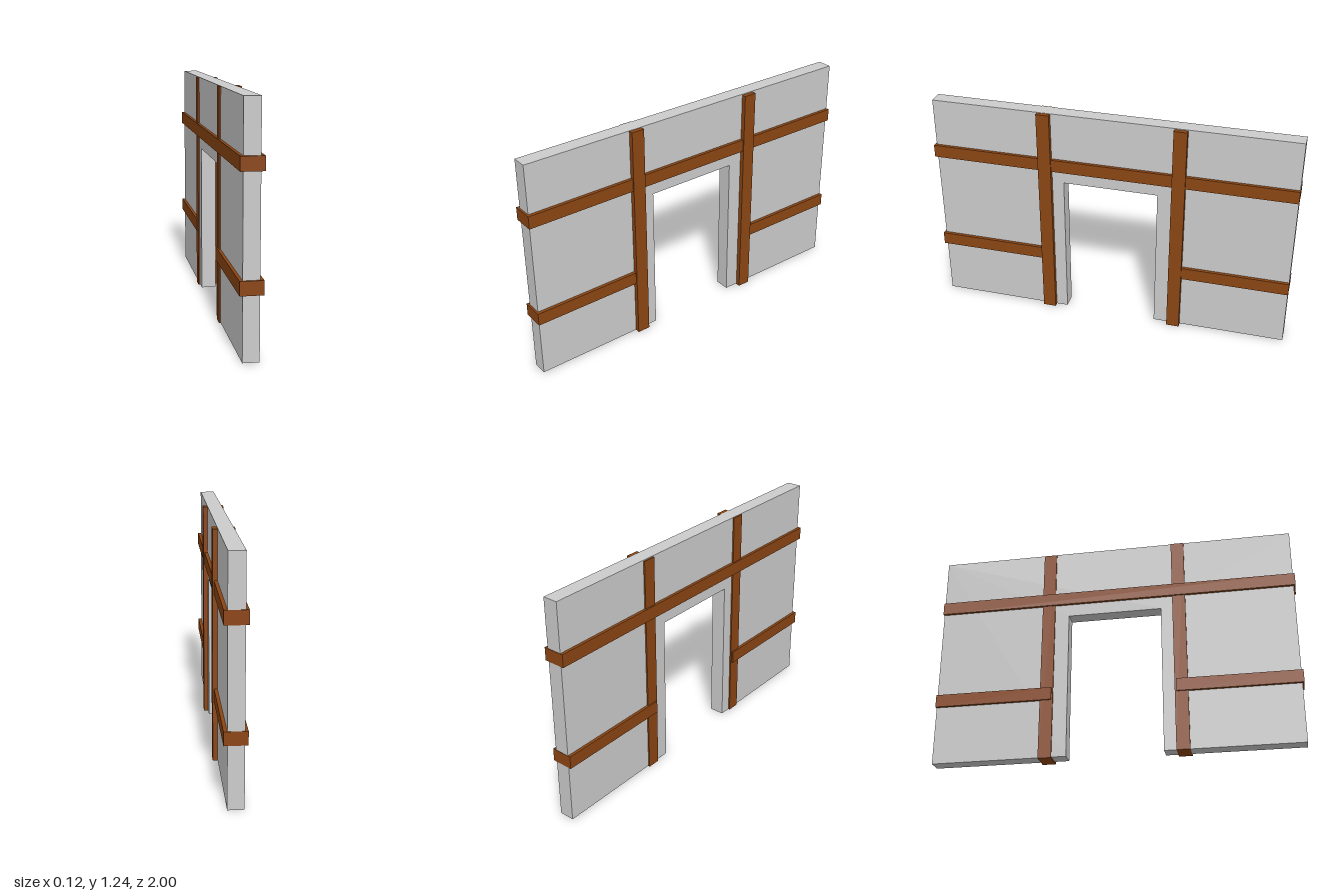
import * as THREE from 'three';

const plaster = new THREE.MeshStandardMaterial({ color: 0xcccccc, flatShading: true });
const wood = new THREE.MeshStandardMaterial({ color: 0x8b4513, flatShading: true });

// Beam given by its [min, max] range on each axis
function beam(name, [x0, x1], [y0, y1], [z0, z1]) {
  const mesh = new THREE.Mesh(new THREE.BoxGeometry(x1 - x0, y1 - y0, z1 - z0), wood);
  mesh.position.set((x0 + x1) / 2, (y0 + y1) / 2, (z0 + z1) / 2);
  mesh.name = name;
  return mesh;
}

export function createModel() {
  const model = new THREE.Group();
  model.name = 'timberWallWithDoorway';

  // Wall slab: outline with doorway notch in (z, y), extruded through its thickness
  const outline = [
    [-0.998, 0.005], [-0.26, 0.005], [-0.26, 0.83], [0.26, 0.83],
    [0.26, 0.005], [0.99, 0.005], [0.99, 1.235], [-0.998, 1.235],
  ].map(([z, y]) => new THREE.Vector2(-z, y));
  const slab = new THREE.ExtrudeGeometry(new THREE.Shape(outline), { depth: 0.082, bevelEnabled: false });
  slab.rotateY(Math.PI / 2);
  slab.translate(-0.047, 0, 0);
  const wall = new THREE.Mesh(slab, plaster);
  wall.name = 'wall';
  model.add(wall);

  // Posts beside the doorway
  const postX = [-0.055, 0.06];
  model.add(beam('frontPost', postX, [0.003, 1.233], [0.325, 0.397]));
  model.add(beam('backPost', postX, [0, 1.23], [-0.411, -0.339]));

  // Rails: one full-length above the doorway, two short ones beside it
  const railX = [-0.063, 0.053];
  model.add(beam('upperRail', railX, [0.9, 0.97], [-1, 1]));
  model.add(beam('lowerFrontRail', railX, [0.328, 0.398], [0.335, 1]));
  model.add(beam('lowerBackRail', railX, [0.328, 0.398], [-1, -0.347]));

  return model;
}
